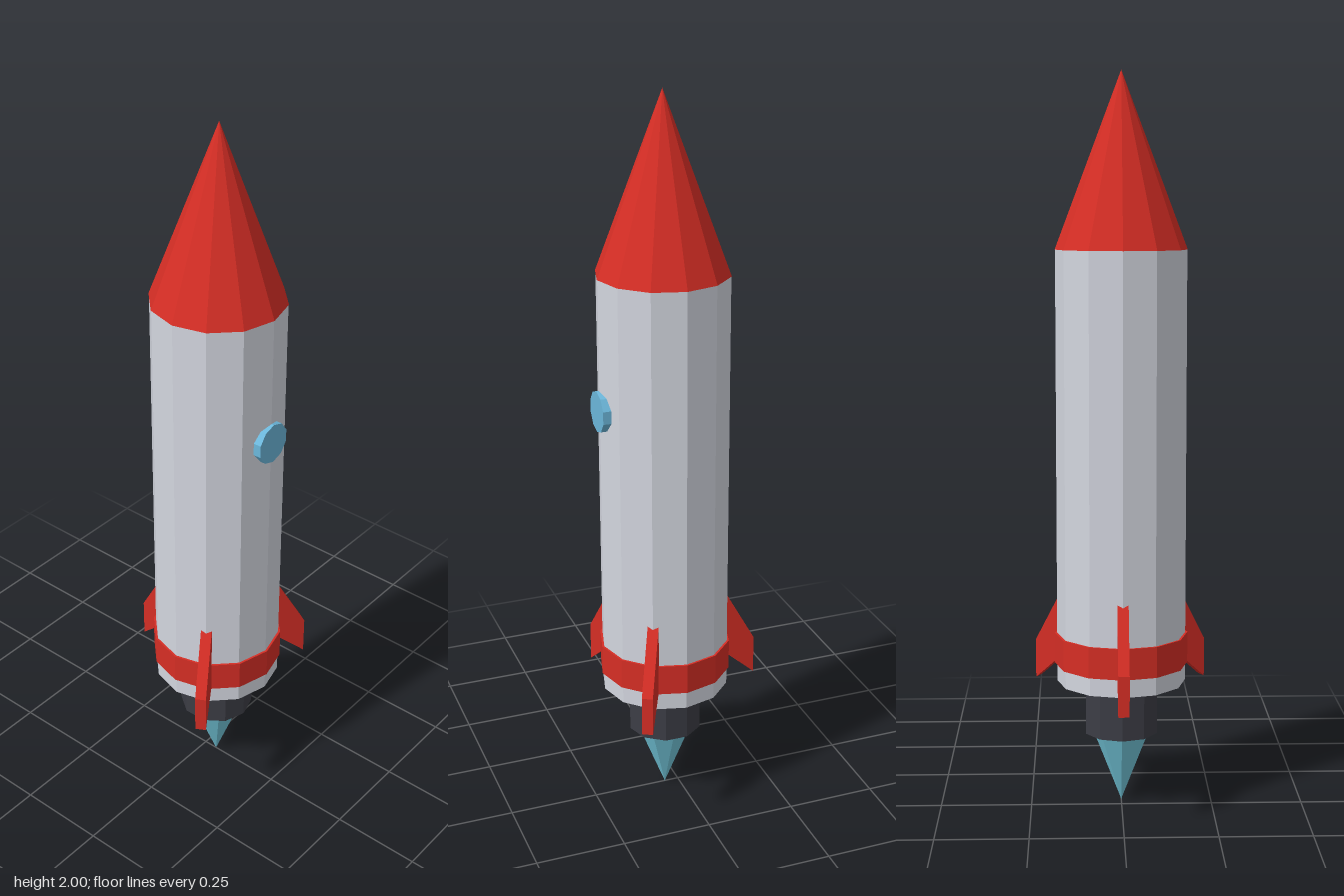
import * as THREE from 'three';

const AXIS_Z = 0.04; // the hull sits a little forward so the whole is centred

const paint = (color) => new THREE.MeshStandardMaterial({ color, flatShading: true });

export function createModel() {
  const rocket = new THREE.Group();
  rocket.name = 'rocket';
  const hull = new THREE.Group();
  hull.name = 'hull';
  hull.position.z = AXIS_Z;
  rocket.add(hull);

  const red = paint(0xd62e25);
  const white = paint(0xd3d6df);
  const dark = paint(0x3c3d45);
  const glass = paint(0x6cb8dc);
  const fire = paint(0x74c8dc);

  // Faceted round part between two heights
  function turned(name, rTop, rBottom, y0, y1, sides, material) {
    const mesh = new THREE.Mesh(new THREE.CylinderGeometry(rTop, rBottom, y1 - y0, sides), material);
    mesh.name = name;
    mesh.position.y = (y0 + y1) / 2;
    hull.add(mesh);
    return mesh;
  }

  turned('body', 0.177, 0.177, 0.345, 1.53, 12, white);
  turned('noseCone', 0, 0.178, 1.53, 2, 12, red);
  turned('band', 0.183, 0.183, 0.395, 0.48, 12, red);
  turned('nozzle', 0.103, 0.103, 0.2, 0.345, 10, dark);
  turned('flame', 0.078, 0, 0, 0.2, 8, fire);

  // Round window on the front
  const porthole = new THREE.Mesh(new THREE.CylinderGeometry(0.056, 0.056, 0.03, 10), glass);
  porthole.name = 'window';
  porthole.rotation.x = Math.PI / 2;
  porthole.position.set(0, 1.175, 0.17);
  hull.add(porthole);

  // Three swept fins, one at the back and two towards the front
  const outline = new THREE.Shape([
    [0.165, 0.41], [0.267, 0.32], [0.267, 0.43], [0.172, 0.6], [0.165, 0.6],
  ].map(([r, y]) => new THREE.Vector2(r, y)));
  const finGeometry = new THREE.ExtrudeGeometry(outline, { depth: 0.03, bevelEnabled: false });
  finGeometry.translate(0, 0, -0.015);
  [['backFin', 90], ['leftFin', -30], ['rightFin', 210]].forEach(([name, degrees]) => {
    const fin = new THREE.Mesh(finGeometry, red);
    fin.name = name;
    fin.rotation.y = THREE.MathUtils.degToRad(degrees);
    hull.add(fin);
  });

  return rocket;
}
